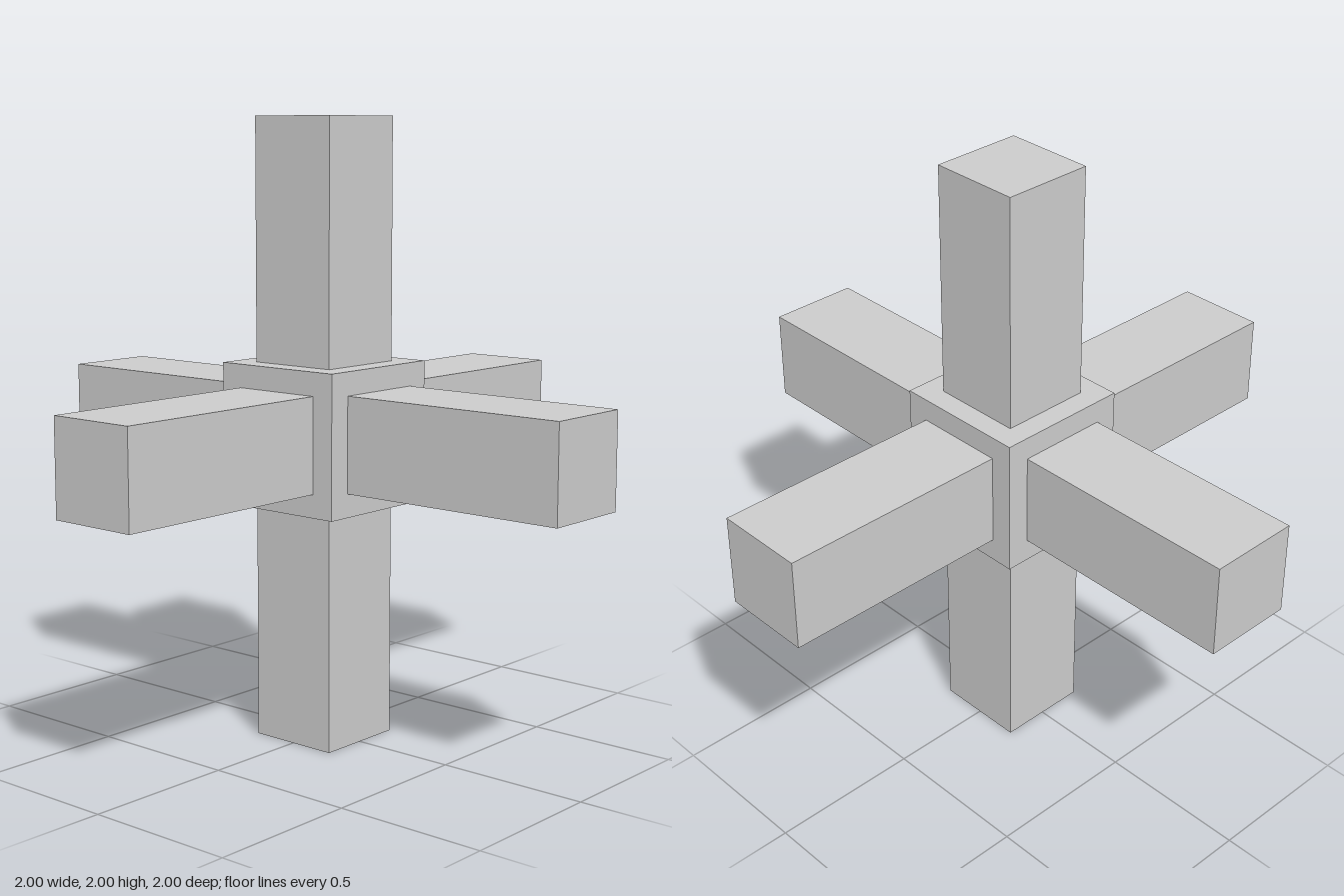
import * as THREE from 'three';

const HUB = 0.455;   // edge of the central cube
const ARM = 0.305;   // thickness of each arm
const REACH = 1;     // distance from the centre to an arm's end

export function createModel() {
  const model = new THREE.Group();
  model.name = 'sixArmedCross';
  const material = new THREE.MeshStandardMaterial({ color: 0xcccccc, flatShading: true });

  // Central cube
  const hub = new THREE.Mesh(new THREE.BoxGeometry(HUB, HUB, HUB), material);
  hub.name = 'hub';
  hub.position.y = REACH;
  model.add(hub);

  // Six square arms, one from each face of the hub
  const length = REACH - HUB / 2;
  const armGeometry = new THREE.BoxGeometry(ARM, length, ARM);
  armGeometry.translate(0, HUB / 2 + length / 2, 0);
  const up = new THREE.Vector3(0, 1, 0);
  const directions = {
    leftArm: [1, 0, 0],
    rightArm: [-1, 0, 0],
    topArm: [0, 1, 0],
    bottomArm: [0, -1, 0],
    frontArm: [0, 0, 1],
    backArm: [0, 0, -1],
  };
  for (const [name, direction] of Object.entries(directions)) {
    const arm = new THREE.Mesh(armGeometry, material);
    arm.name = name;
    arm.quaternion.setFromUnitVectors(up, new THREE.Vector3(...direction));
    arm.position.y = REACH;
    model.add(arm);
  }
  return model;
}
